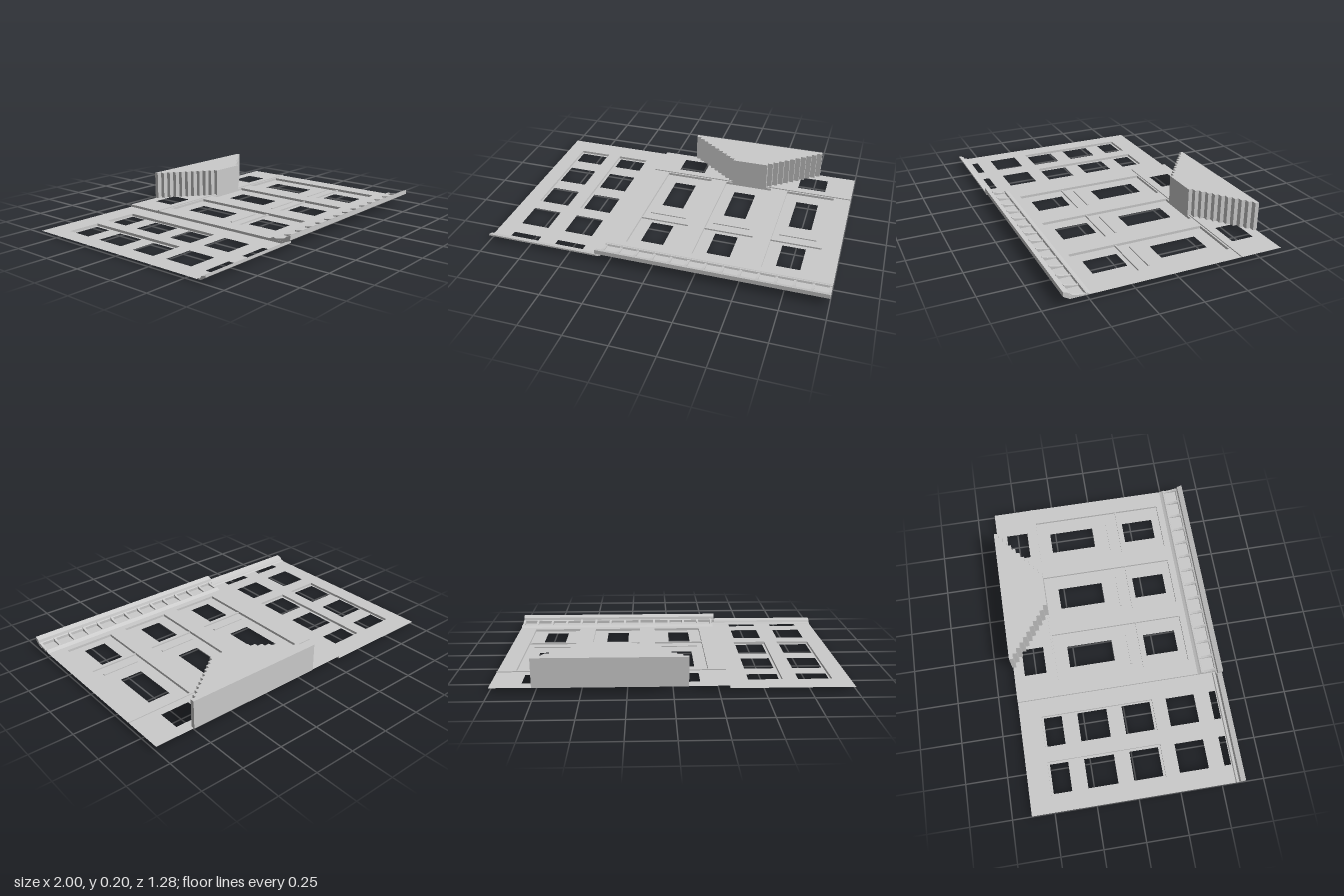
import * as THREE from 'three';

const solid = new THREE.MeshStandardMaterial({ color: 0xcccccc, flatShading: true });
const thin = new THREE.MeshStandardMaterial({ color: 0xcccccc, flatShading: true, side: THREE.DoubleSide });

function add(parent, name, geometry, material = solid) {
  const mesh = new THREE.Mesh(geometry, material);
  mesh.name = name;
  parent.add(mesh);
  return mesh;
}

// Rectangles are [x0, x1, z0, z1]
const corners = ([x0, x1, z0, z1]) =>
  [[x0, z0], [x0, z1], [x1, z1], [x1, z0]].map(([x, z]) => new THREE.Vector2(x, -z));

// Flat sheet at height y with rectangular openings
function sheet(parent, name, rect, y, holes) {
  const shape = new THREE.Shape(corners(rect));
  holes.forEach(h => shape.holes.push(new THREE.Path(corners(h))));
  add(parent, name, new THREE.ShapeGeometry(shape).rotateX(-Math.PI / 2).translate(0, y, 0), thin);
}

// Sunken panel: floor with windows and four thin side walls
function recess(parent, name, rect, y0, y1, windows) {
  const g = new THREE.Group();
  g.name = name;
  parent.add(g);
  sheet(g, 'panelFloor', rect, y0, windows);
  const [x0, x1, z0, z1] = rect, h = y1 - y0, y = (y0 + y1) / 2;
  for (const z of [z0, z1])
    add(g, 'panelWall', new THREE.PlaneGeometry(x1 - x0, h).translate((x0 + x1) / 2, y, z), thin);
  for (const x of [x0, x1])
    add(g, 'panelWall', new THREE.PlaneGeometry(z1 - z0, h).rotateY(Math.PI / 2).translate(x, y, (z0 + z1) / 2), thin);
  return g;
}

// Profile of [z, y] points swept along x
function sweep(parent, name, profile, x0, x1) {
  const shape = new THREE.Shape(profile.map(p => new THREE.Vector2(...p)));
  const geo = new THREE.ExtrudeGeometry(shape, { depth: x1 - x0, bevelEnabled: false });
  add(parent, name, geo.rotateY(-Math.PI / 2).translate(x1, 0, 0));
}

function bar(parent, name, x0, x1, z0, z1, y0, y1) {
  add(parent, name, new THREE.BoxGeometry(x1 - x0, y1 - y0, z1 - z0)
    .translate((x0 + x1) / 2, (y0 + y1) / 2, (z0 + z1) / 2));
}

export function createModel() {
  const model = new THREE.Group();
  model.name = 'buildingFacade';
  const lowY = 0.015, highY = 0.03, split = -0.31, back = -0.635;

  // Lower wing with two window columns
  const lowHoles = [];
  for (const [p0, p1, w0, w1] of [[-0.9, -0.7, -0.89, -0.715], [-0.62, -0.42, -0.605, -0.43]]) {
    const panel = [p0, p1, -0.505, 0.18];
    lowHoles.push(panel, [w0, w1, 0.265, 0.44], [w0, w1, 0.535, 0.575]);
    recess(model, 'windowColumn', panel, 0, lowY,
      [[-0.492, -0.382], [-0.285, -0.105], [-0.01, 0.165]].map(r => [w0, w1, ...r]));
  }
  sheet(model, 'lowerWall', [-1, split, back, 0.605], lowY, lowHoles);

  // Step between the wings
  add(model, 'wallStep', new THREE.PlaneGeometry(0.605 - back, highY - lowY)
    .rotateY(Math.PI / 2).translate(split, (lowY + highY) / 2, (0.605 + back) / 2), thin);

  // Raised wing with three tall bays
  const highHoles = [[-0.15, 0.02, -0.57, -0.435], [0.655, 0.83, -0.57, -0.435]];
  for (const x of [-0.21, 0.19, 0.595]) {
    const panel = [x, x + 0.3, -0.37, 0.45];
    highHoles.push(panel);
    const bay = recess(model, 'windowBay', panel, lowY, highY,
      [[x + 0.075, x + 0.212, -0.285, -0.002], [x + 0.075, x + 0.212, 0.2, 0.4]]);
    bar(bay, 'windowSill', x, x + 0.3, 0.165, 0.175, lowY, 0.024);
    bar(bay, 'spandrelStrip', x + 0.035, x + 0.26, 0.092, 0.104, lowY, 0.021);
  }
  sheet(model, 'raisedWall', [split, 1, back, 0.605], highY, highHoles);
  bar(model, 'stringCourse', split, 1, -0.388, -0.38, highY, 0.036);

  // Entrance block with stepped sides
  const steps = 11, rightSide = [], leftSide = [];
  for (let i = 0; i < steps; i++) {
    const z0 = -0.64 + i * 0.27 / steps, z1 = -0.64 + (i + 1) * 0.27 / steps;
    const inset = i * 0.315 / (steps - 1);
    rightSide.push([-0.085 + inset, -z0], [-0.085 + inset, -z1]);
    leftSide.unshift([0.768 - inset, -z1], [0.768 - inset, -z0]);
  }
  const outline = new THREE.Shape([...rightSide, ...leftSide].map(p => new THREE.Vector2(...p)));
  add(model, 'steppedEntrance', new THREE.ExtrudeGeometry(outline, { depth: 0.2 - highY, bevelEnabled: false })
    .rotateX(-Math.PI / 2).translate(0, highY, 0));

  // Cornices
  sweep(model, 'lowerCornice', [[0.58, 0.015], [0.585, 0.021], [0.6, 0.022], [0.608, 0.036],
    [0.637, 0.045], [0.637, 0.035], [0.605, 0.015]], -1, -0.315);
  sweep(model, 'mainCornice', [[0.597, 0.03], [0.597, 0.047], [0.606, 0.05], [0.61, 0.066],
    [0.64, 0.078], [0.64, 0.052], [0.605, 0.03]], -0.328, 1);
  sweep(model, 'friezeMoulding', [[0.49, 0.03], [0.505, 0.037], [0.512, 0.042],
    [0.519, 0.042], [0.522, 0.03]], split, 1);

  // Brackets dividing the frieze
  for (let i = 0; i <= 13; i++) {
    const x = Math.min(0.992, Math.max(split + 0.008, split + i * 0.1008));
    sweep(model, 'corniceBracket', [[0.51, 0.03], [0.515, 0.037], [0.53, 0.037], [0.57, 0.043],
      [0.6, 0.053], [0.6, 0.03]], x - 0.007, x + 0.007);
  }
  return model;
}
